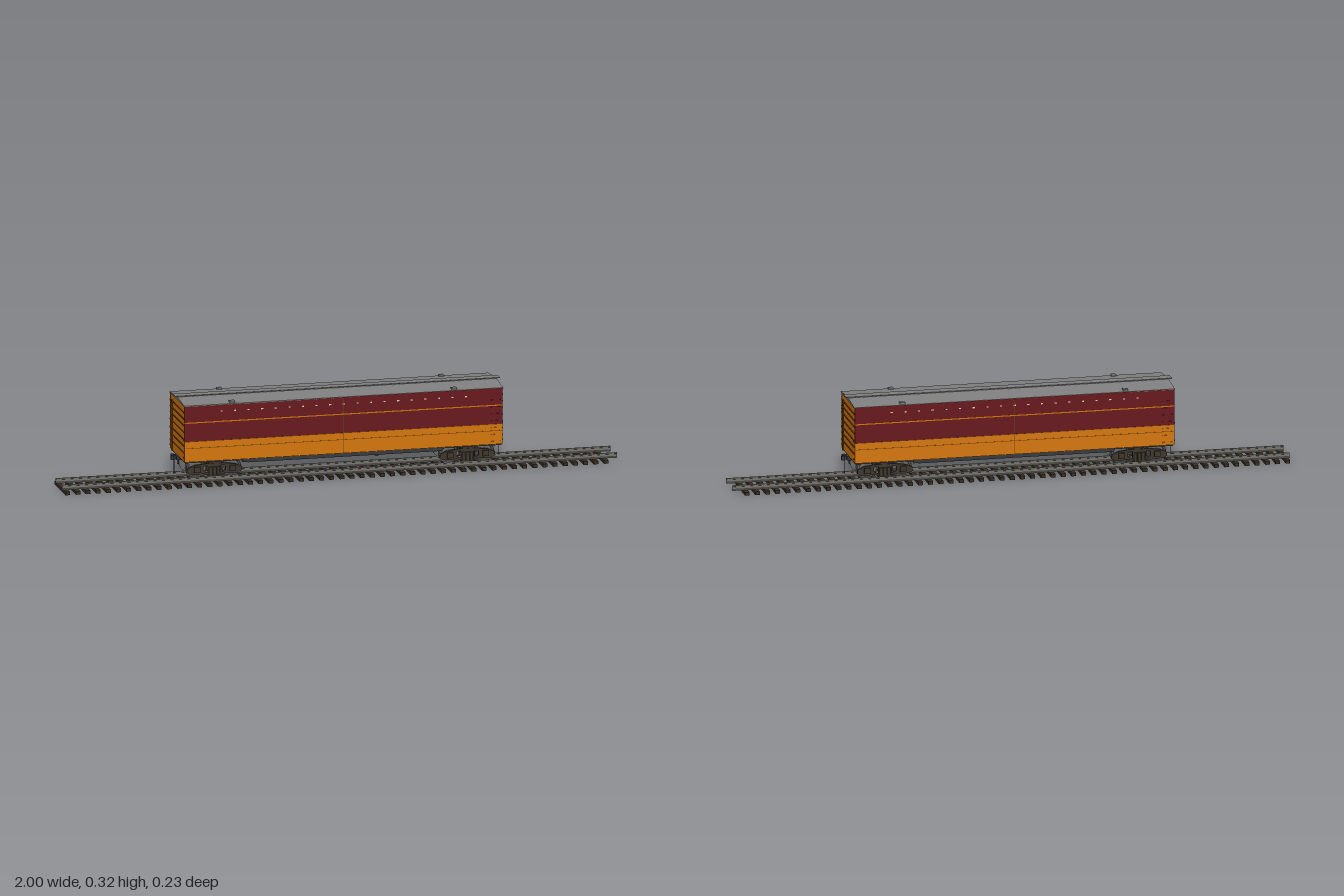
import * as THREE from 'three';
import { toCreasedNormals } from 'three/addons/utils/BufferGeometryUtils.js';

const mat = (name, color) => {
  const m = new THREE.MeshStandardMaterial({ color });
  m.name = name;
  return m;
};

export function createModel() {
  const M = {
    maroon: mat('maroon', 0x6a1a1f),
    orange: mat('orange', 0xd6780f),
    rib: mat('ribBrown', 0x7a430c),
    roof: mat('roofGrey', 0x808080),
    frame: mat('frameGrey', 0x383a3c),
    truck: mat('truckBrown', 0x40382f),
    wheel: mat('wheelGrey', 0x6c6c6c),
    rail: mat('railGrey', 0x787670),
    tie: mat('tieBrown', 0x3a2f24),
    cream: mat('cream', 0xe8d9b0),
  };
  const model = new THREE.Group();
  model.name = 'railCarOnTrack';

  const group = (name, parent = model) => {
    const g = new THREE.Group();
    g.name = name;
    parent.add(g);
    return g;
  };
  const add = (parent, name, geo, material, x = 0, y = 0, z = 0) => {
    const m = new THREE.Mesh(geo, material);
    m.name = name;
    m.position.set(x, y, z);
    parent.add(m);
    return m;
  };
  const box = (parent, name, material, w, h, d, x, y, z) =>
    add(parent, name, new THREE.BoxGeometry(w, h, d), material, x, y, z);
  const cyl = (parent, name, material, r, len, axis, x, y, z, n = 12) => {
    const geo = new THREE.CylinderGeometry(r, r, len, n);
    if (axis === 'x') geo.rotateZ(Math.PI / 2);
    if (axis === 'z') geo.rotateX(Math.PI / 2);
    return add(parent, name, geo, material, x, y, z);
  };
  // Cross-section of (z, y) points swept along x, centred
  const sweepX = (pts, len) => {
    const shape = new THREE.Shape(pts.map(([z, y]) => new THREE.Vector2(z, y)));
    return new THREE.ExtrudeGeometry(shape, { depth: len, bevelEnabled: false })
      .translate(0, 0, -len / 2).rotateY(Math.PI / 2);
  };

  // Track: sleepers and two flanged rails
  const track = group('track');
  for (let i = 0; i < 54; i++) box(track, 'sleeper', M.tie, 0.016, 0.012, 0.166, -0.987 + i * 0.0366, 0.006, 0);
  const railProfile = [[-0.006, 0.012], [0.006, 0.012], [0.006, 0.014], [0.0012, 0.016], [0.0012, 0.025],
    [0.0026, 0.026], [0.0026, 0.03], [-0.0026, 0.03], [-0.0026, 0.026], [-0.0012, 0.025], [-0.0012, 0.016], [-0.006, 0.014]];
  for (const s of [-1, 1]) add(track, 'rail', sweepX(railProfile, 2), M.rail, 0, 0, s * 0.048);

  // Body: orange core and ends, maroon upper side panels
  const body = group('body');
  box(body, 'bodyCore', M.orange, 1.144, 0.203, 0.216, 0, 0.2015, 0);
  for (const s of [-1, 1]) {
    const z = s * 0.109;
    box(body, 'lowerSide', M.orange, 1.146, 0.073, 0.004, 0, 0.1375, z);
    box(body, 'upperSide', M.maroon, 1.146, 0.129, 0.004, 0, 0.2385, z);
    box(body, 'sideStripe', M.orange, 1.146, 0.004, 0.001, 0, 0.242, s * 0.1113);
    box(body, 'lowerSeam', M.rib, 1.14, 0.0015, 0.001, 0, 0.15, s * 0.1113);
    box(body, 'borderSeam', M.rib, 1.146, 0.002, 0.001, 0, 0.174, s * 0.1113);
    box(body, 'doorSeam', M.rib, 0.002, 0.07, 0.001, 0, 0.138, s * 0.1113);
    box(body, 'doorSeamUpper', M.rib, 0.0015, 0.125, 0.001, 0, 0.2385, s * 0.1113);
    // Small bright fasteners along the top of the side
    for (let i = -9; i <= 9; i++) box(body, 'fastener', M.cream, 0.008, 0.004, 0.001, i * 0.049, 0.279, s * 0.1113);
    // Grab irons near one corner of each side
    for (let i = 0; i < 7; i++) {
      box(body, 'grabIron', i < 3 ? M.orange : M.maroon, 0.034, 0.002, 0.002, s * 0.548, 0.112 + i * 0.025, s * 0.1135);
    }
  }

  // Ribbed ends with the vertical brake rod
  for (const s of [-1, 1]) {
    const end = group('carEnd', body);
    for (const y of [0.133, 0.158, 0.181, 0.207, 0.232, 0.255, 0.278]) {
      box(end, 'endRib', M.rib, 0.004, 0.0028, 0.21, s * 0.5735, y, 0);
    }
    box(end, 'brakeRod', M.rib, 0.004, 0.18, 0.004, s * 0.577, 0.191, s * 0.068);
    box(end, 'brakeBracket', M.rib, 0.006, 0.008, 0.008, s * 0.576, 0.28, s * 0.068);
    for (const t of [-1, 1]) {
      for (const y of [0.115, 0.178]) box(end, 'endGrab', M.rib, 0.005, 0.004, 0.004, s * 0.574, y, t * 0.101);
    }
  }

  // Pitched roof, running board and corner walkways
  const roof = group('roof');
  add(roof, 'roofPanel', sweepX([[-0.111, 0.301], [0.111, 0.301], [0.111, 0.304], [0, 0.314], [-0.111, 0.304]], 1.15), M.roof);
  box(roof, 'runningBoard', M.roof, 1.17, 0.003, 0.037, 0, 0.3165, 0);
  for (let i = -14; i <= 14; i++) box(roof, 'boardSupport', M.roof, 0.004, 0.004, 0.03, i * 0.04, 0.314, 0);
  for (const sx of [-1, 1]) for (const sz of [-1, 1]) {
    box(roof, 'roofHatch', M.roof, 0.018, 0.007, 0.017, sx * 0.4, 0.308, sz * 0.096);
  }

  // Underframe, sills and brake gear
  const under = group('underframe');
  box(under, 'floor', M.frame, 1.14, 0.006, 0.212, 0, 0.099, 0);
  box(under, 'centreSill', M.frame, 1.12, 0.014, 0.03, 0, 0.092, 0);
  for (const s of [-1, 1]) {
    box(under, 'sideSill', M.frame, 0.69, 0.013, 0.006, 0, 0.0925, s * 0.1);
    box(under, 'endBolster', M.frame, 0.03, 0.011, 0.204, s * 0.345, 0.0925, 0);
    box(under, 'crossBearer', M.frame, 0.012, 0.01, 0.2, s * 0.2, 0.092, 0);
    box(under, 'crossBearer', M.frame, 0.012, 0.01, 0.2, s * 0.07, 0.092, 0);
  }
  cyl(under, 'brakeCylinder', M.frame, 0.011, 0.055, 'x', -0.13, 0.09, 0.06);
  cyl(under, 'airTank', M.frame, 0.012, 0.05, 'z', 0.125, 0.089, 0.06);
  box(under, 'brakeValve', M.frame, 0.03, 0.012, 0.02, 0.03, 0.09, -0.06);
  cyl(under, 'brakePipe', M.frame, 0.002, 0.66, 'x', 0, 0.089, -0.035, 6);

  // Couplers with hanging pins
  for (const s of [-1, 1]) {
    const c = group('coupler');
    box(c, 'couplerBox', M.frame, 0.05, 0.014, 0.032, s * 0.555, 0.094, 0);
    box(c, 'couplerShank', M.frame, 0.02, 0.01, 0.012, s * 0.582, 0.095, 0);
    box(c, 'couplerHead', M.frame, 0.012, 0.017, 0.018, s * 0.588, 0.095, s * 0.006);
    box(c, 'couplerJaw', M.frame, 0.01, 0.015, 0.008, s * 0.594, 0.095, -s * 0.01);
    cyl(c, 'couplerPin', M.frame, 0.0012, 0.055, 'y', s * 0.585, 0.063, 0, 6);
  }

  // Trucks: arched side frames, bolster, springs and flanged wheels
  const sideShape = new THREE.Shape([
    [-0.1, 0.052], [-0.085, 0.044], [-0.06, 0.044], [-0.038, 0.046], [-0.02, 0.036], [0.02, 0.036], [0.038, 0.046],
    [0.06, 0.044], [0.085, 0.044], [0.1, 0.052], [0.098, 0.066], [0.075, 0.076], [0.03, 0.082], [-0.03, 0.082],
    [-0.075, 0.076], [-0.098, 0.066]].map(([x, y]) => new THREE.Vector2(x, y)));
  for (const s of [-1, 1]) {
    sideShape.holes.push(new THREE.Path([[0.024, 0.048], [0.04, 0.056], [0.04, 0.072], [0.024, 0.074]]
      .map(([x, y]) => new THREE.Vector2(s * x, y))));
  }
  const sideGeo = new THREE.ExtrudeGeometry(sideShape, { depth: 0.008, bevelEnabled: false }).translate(0, 0, -0.004);
  const wheelGeo = toCreasedNormals(new THREE.LatheGeometry([
    [0, -0.007], [0.037, -0.007], [0.037, -0.004], [0.0335, -0.003], [0.033, 0.007], [0.028, 0.007],
    [0.026, 0.003], [0.013, 0.003], [0.01, 0.008], [0, 0.008]].map(([r, y]) => new THREE.Vector2(r, y)), 28)
    .rotateX(Math.PI / 2), 0.6);

  for (const s of [-1, 1]) {
    const t = group('truck');
    t.position.x = s * 0.456;
    box(t, 'bolster', M.truck, 0.036, 0.018, 0.14, 0, 0.08, 0);
    cyl(t, 'centrePlate', M.truck, 0.02, 0.014, 'y', 0, 0.091, 0, 16);
    for (const sz of [-1, 1]) {
      add(t, 'sideFrame', sideGeo, M.truck, 0, 0, sz * 0.068);
      box(t, 'springPlank', M.truck, 0.05, 0.006, 0.016, 0, 0.04, sz * 0.071);
      for (const x of [-0.014, 0, 0.014]) cyl(t, 'spring', M.truck, 0.006, 0.03, 'y', x, 0.055, sz * 0.073, 10);
      for (const sx of [-1, 1]) {
        const w = add(t, 'wheel', wheelGeo, M.wheel, sx * 0.064, 0.064, sz * 0.051);
        if (sz < 0) w.rotation.y = Math.PI;
        box(t, 'journalBox', M.truck, 0.022, 0.02, 0.014, sx * 0.064, 0.062, sz * 0.073);
        box(t, 'brakeShoe', M.truck, 0.006, 0.022, 0.01, sx * 0.027, 0.062, sz * 0.05);
      }
    }
    for (const sx of [-1, 1]) {
      cyl(t, 'axle', M.wheel, 0.004, 0.13, 'z', sx * 0.064, 0.064, 0);
      box(t, 'brakeBeam', M.truck, 0.005, 0.005, 0.1, sx * 0.025, 0.062, 0);
    }
  }
  return model;
}
